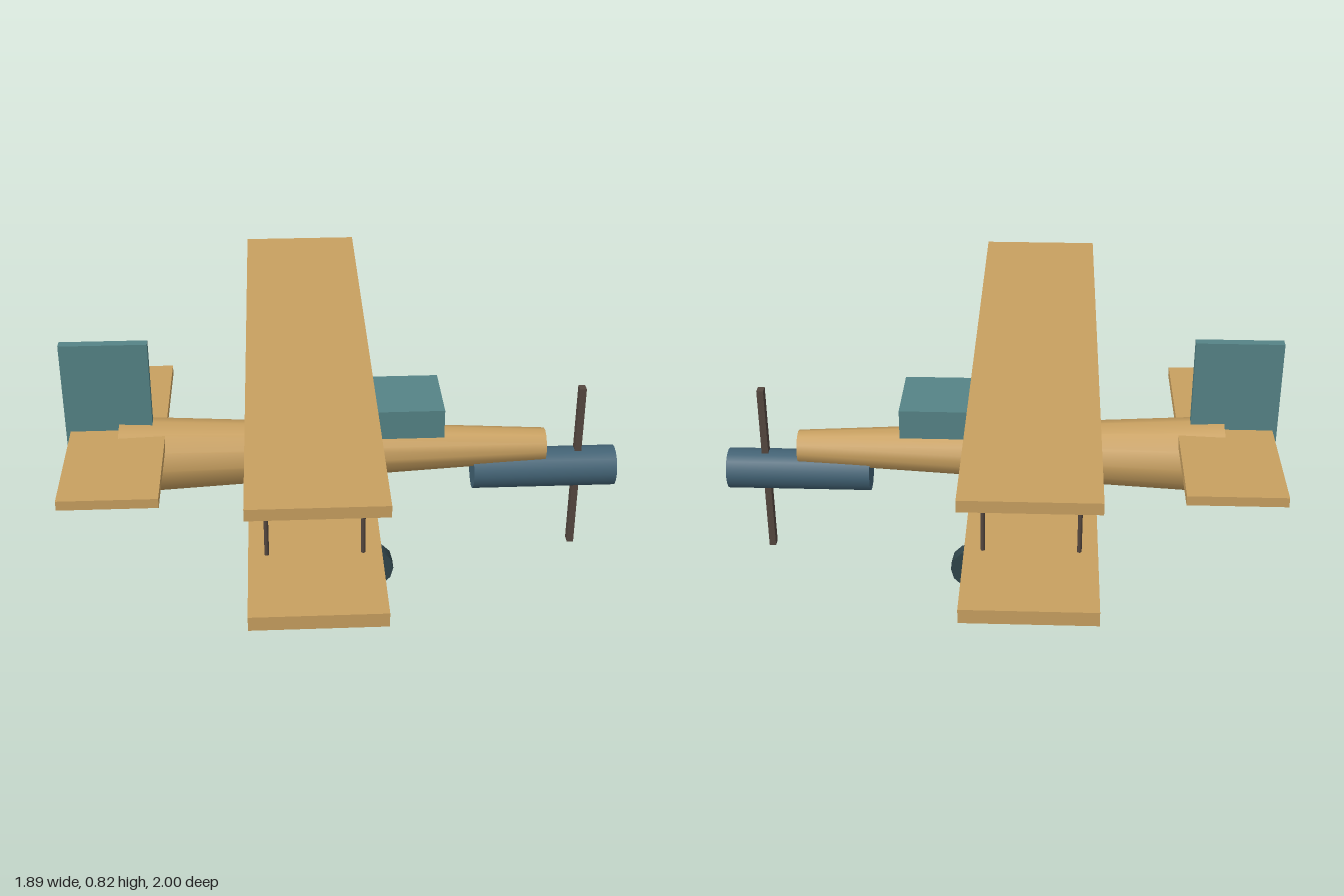
import * as THREE from 'three';

export function createModel() {
  const model = new THREE.Group();
  model.name = 'biplane';

  const paint = (name, color) => {
    const m = new THREE.MeshStandardMaterial({ color });
    m.name = name;
    return m;
  };
  const tan = paint('tan', 0xc8a060);
  const teal = paint('teal', 0x558386);
  const steel = paint('steel blue', 0x426274);
  const rubber = paint('dark slate', 0x2f444a);
  const wood = paint('dark wood', 0x54473f);

  const add = (name, geometry, material) => {
    const mesh = new THREE.Mesh(geometry, material);
    mesh.name = name;
    model.add(mesh);
    return mesh;
  };

  // Box given by its extents in x and y, symmetric about z = 0
  const slab = (name, x0, x1, y0, y1, halfDepth, material) =>
    add(name, new THREE.BoxGeometry(x1 - x0, y1 - y0, halfDepth * 2), material)
      .position.set((x0 + x1) / 2, (y0 + y1) / 2, 0);

  // Round bar between two points, with a radius at each end
  const bar = (name, a, b, ra, rb, sides, material) => {
    const from = new THREE.Vector3(...a);
    const to = new THREE.Vector3(...b);
    const dir = to.clone().sub(from);
    const mesh = add(name, new THREE.CylinderGeometry(rb, ra, dir.length(), sides), material);
    mesh.position.copy(from).add(to).multiplyScalar(0.5);
    mesh.quaternion.setFromUnitVectors(new THREE.Vector3(0, 1, 0), dir.normalize());
  };

  // Body, nose pointing to +x
  bar('fuselage', [-0.77, 0.4, 0], [0.695, 0.4, 0], 0.132, 0.058, 12, tan);
  bar('engine', [0.445, 0.31, 0], [0.945, 0.31, 0], 0.071, 0.071, 16, steel);
  slab('cockpit', 0.003, 0.327, 0.51, 0.612, 0.132, teal);
  slab('propeller', 0.802, 0.825, 0, 0.62, 0.017, wood);

  // Wings and tail
  slab('upperWing', -0.332, 0.078, 0.75, 0.787, 1, tan);
  slab('lowerWing', -0.332, 0.078, 0.377, 0.423, 1, tan);
  slab('tailplane', -0.935, -0.613, 0.472, 0.505, 0.47, tan);
  slab('tailFin', -0.95, -0.657, 0.415, 0.825, 0.017, teal);

  // Mirrored struts and landing gear
  for (const s of [1, -1]) {
    for (const x of [-0.275, 0.02]) {
      bar('wingStrut', [x, 0.41, s * 0.677], [x, 0.76, s * 0.677], 0.007, 0.007, 8, wood);
    }
    bar('gearLeg', [0.02, 0.33, s * 0.005], [0.077, 0.1, s * 0.235], 0.013, 0.013, 8, steel);
    bar('wheel', [0.078, 0.074, s * 0.21], [0.078, 0.074, s * 0.26], 0.074, 0.074, 12, rubber);
  }

  return model;
}
